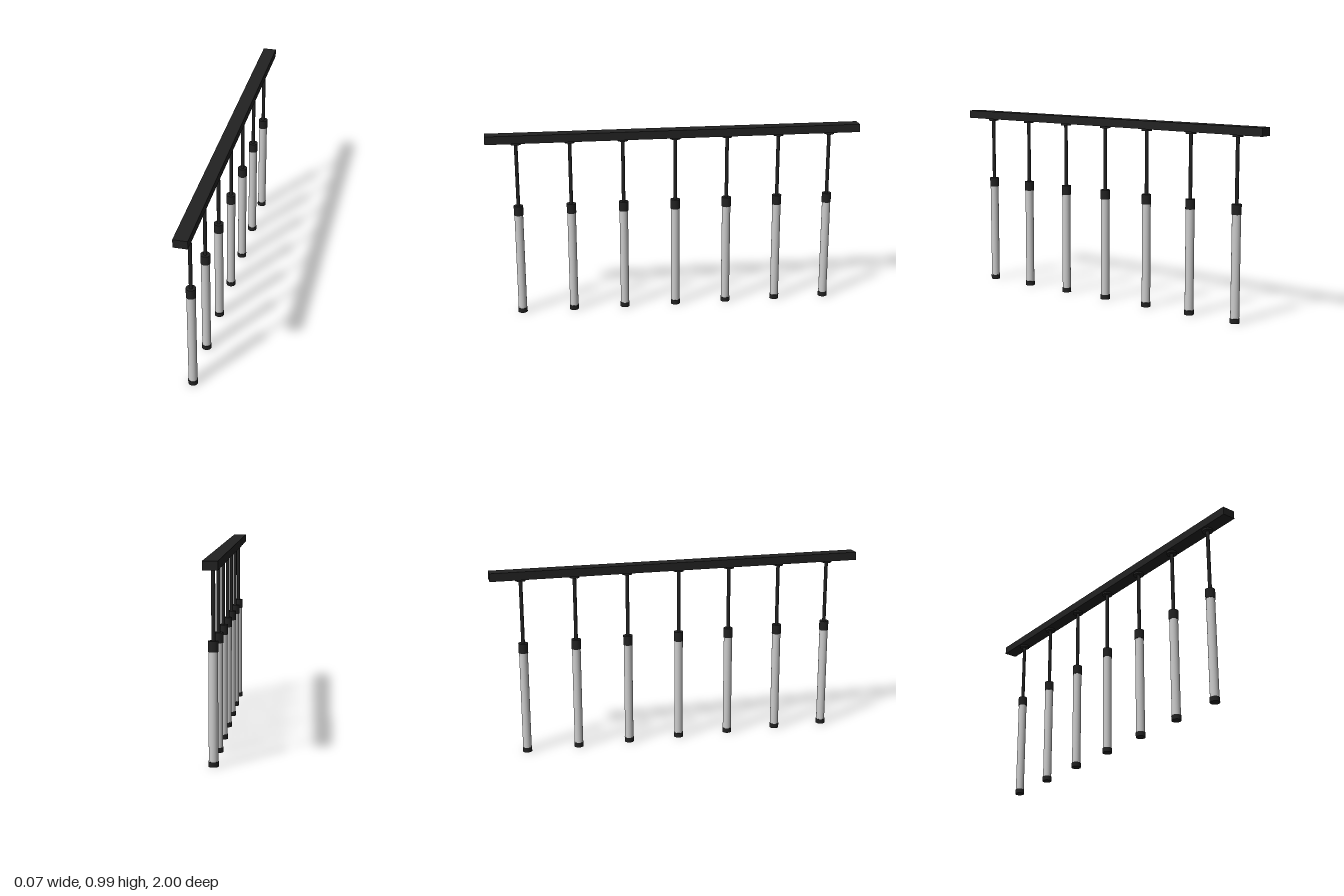
import * as THREE from 'three';

export function createModel() {
  const model = new THREE.Group();
  model.name = 'linearPendantLight';
  const black = new THREE.MeshStandardMaterial({ color: 0x222222 });
  const grey = new THREE.MeshStandardMaterial({ color: 0xcccccc });

  // Upright cylinder spanning y0..y1
  const cylinder = (name, radius, y0, y1, material) => {
    const mesh = new THREE.Mesh(new THREE.CylinderGeometry(radius, radius, y1 - y0, 32), material);
    mesh.position.y = (y0 + y1) / 2;
    mesh.name = name;
    return mesh;
  };

  // Ceiling bar
  const bar = new THREE.Mesh(new THREE.BoxGeometry(0.072, 0.043, 2), black);
  bar.position.y = 0.9715;
  bar.name = 'ceilingBar';
  model.add(bar);

  // Seven hanging lamps, evenly spaced along the bar
  for (let i = -3; i <= 3; i++) {
    const pendant = new THREE.Group();
    pendant.name = 'pendant';
    pendant.position.z = i * 0.28;
    pendant.add(
      cylinder('mountingDisc', 0.027, 0.939, 0.951, black),
      cylinder('rod', 0.0095, 0.6, 0.94, black),
      cylinder('topCap', 0.025, 0.553, 0.605, black),
      cylinder('lampTube', 0.0228, 0.02, 0.56, grey),
      cylinder('bottomCap', 0.025, 0, 0.025, black)
    );
    model.add(pendant);
  }
  return model;
}
